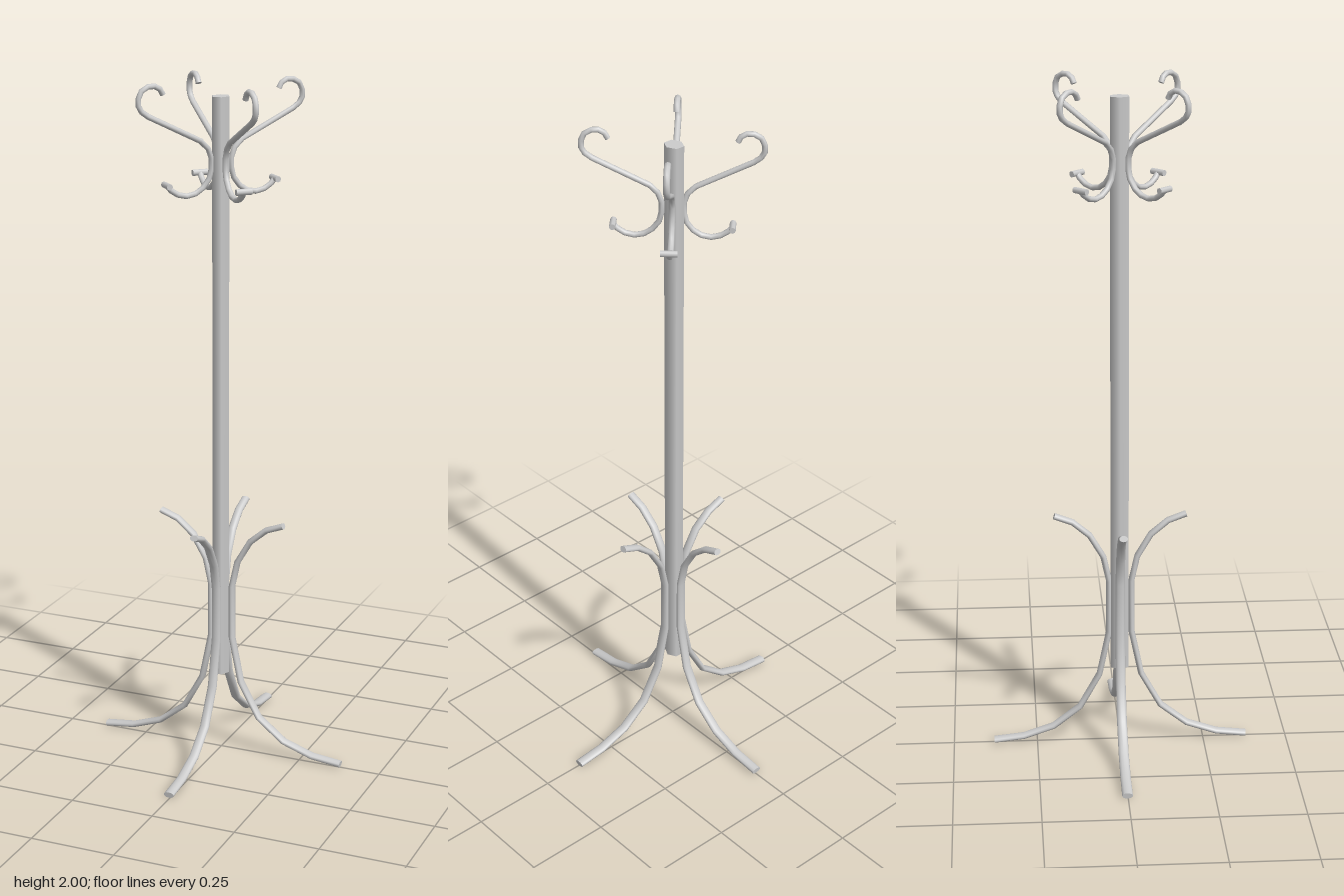
import * as THREE from 'three';

const material = new THREE.MeshStandardMaterial({ color: 0xcccccc });

// Sweeps an oval section through planar points; thick lies in the plane, wide(t) across it
function bentRod(points, sides, thick, wide) {
  const curve = new THREE.CatmullRomCurve3(points.map(([r, y]) => new THREE.Vector3(r, y, 0)));
  const segments = points.length - 1;
  const pos = [], index = [];
  const ring = (t) => {
    const p = curve.getPoint(t), d = curve.getTangent(t);
    for (let j = 0; j < sides; j++) {
      const a = (j / sides) * Math.PI * 2;
      const u = Math.cos(a) * thick;
      pos.push(p.x - d.y * u, p.y + d.x * u, Math.sin(a) * wide(t));
    }
  };
  for (let i = 0; i <= segments; i++) ring(i / segments);
  for (let i = 0; i < segments; i++) {
    for (let j = 0; j < sides; j++) {
      const k = (j + 1) % sides;
      const a = i * sides + j, b = i * sides + k;
      index.push(a, b, a + sides, b, b + sides, a + sides);
    }
  }
  // Flat end caps with their own vertices, so the rims stay sharp
  for (const t of [0, 1]) {
    const base = pos.length / 3;
    ring(t);
    for (let j = 1; j < sides - 1; j++) {
      if (t) index.push(base, base + j, base + j + 1);
      else index.push(base, base + j + 1, base + j);
    }
  }
  const geometry = new THREE.BufferGeometry();
  geometry.setAttribute('position', new THREE.Float32BufferAttribute(pos, 3));
  geometry.setIndex(index);
  geometry.computeVertexNormals();
  return geometry;
}

// Profiles as [distance from the axis, height]
const legPath = [
  [0.379, 0.011], [0.29, 0.021], [0.2, 0.052], [0.12, 0.115], [0.062, 0.22], [0.033, 0.36],
  [0.033, 0.52], [0.05, 0.597], [0.09, 0.665], [0.14, 0.707], [0.193, 0.727],
];
const hookPath = [
  // upper curl
  [0.172, 1.968], [0.18, 1.983], [0.196, 1.992], [0.215, 1.991], [0.234, 1.98],
  [0.243, 1.96], [0.243, 1.94], [0.234, 1.924], [0.215, 1.91],
  // straight arm, bend along the pole and lower hook
  [0.062, 1.834], [0.04, 1.812], [0.03, 1.785], [0.03, 1.755], [0.037, 1.727], [0.055, 1.703],
  [0.078, 1.688], [0.104, 1.683], [0.13, 1.689], [0.15, 1.702], [0.161, 1.715],
];

export function createModel() {
  const model = new THREE.Group();
  model.name = 'coatStand';

  const add = (parent, name, geometry) => {
    const mesh = new THREE.Mesh(geometry, material);
    mesh.name = name;
    parent.add(mesh);
    return mesh;
  };

  // Six-sided pole, softly shaded
  const poleGeometry = new THREE.CylinderGeometry(0.026, 0.026, 1.71, 6).rotateY(Math.PI / 2).scale(1, 1, 1.15);
  add(model, 'pole', poleGeometry).position.set(-0.003, 1.1, -0.002);

  const legGeometry = bentRod(legPath, 12, 0.009, (t) => 0.0155 - 0.003 * t);
  const hookGeometry = bentRod(hookPath, 8, 0.008, () => 0.009);
  const pegGeometry = new THREE.CylinderGeometry(0.009, 0.009, 0.046, 8).rotateX(Math.PI / 2);

  for (let i = 0; i < 4; i++) {
    // Bent legs along the main axes, lined up with the pole
    const leg = add(model, 'leg' + (i + 1), legGeometry);
    leg.rotation.y = (i * Math.PI) / 2;
    if (i % 2) leg.position.x = -0.003;
    else leg.position.z = -0.002;

    // Double hooks on the diagonals, each with a cross peg at its lower tip
    const hook = new THREE.Group();
    hook.name = 'hook' + (i + 1);
    hook.rotation.y = Math.PI / 4 + (i * Math.PI) / 2;
    add(hook, 'hookRod', hookGeometry);
    add(hook, 'hookPeg', pegGeometry).position.set(0.162, 1.716, 0);
    model.add(hook);
  }
  return model;
}
